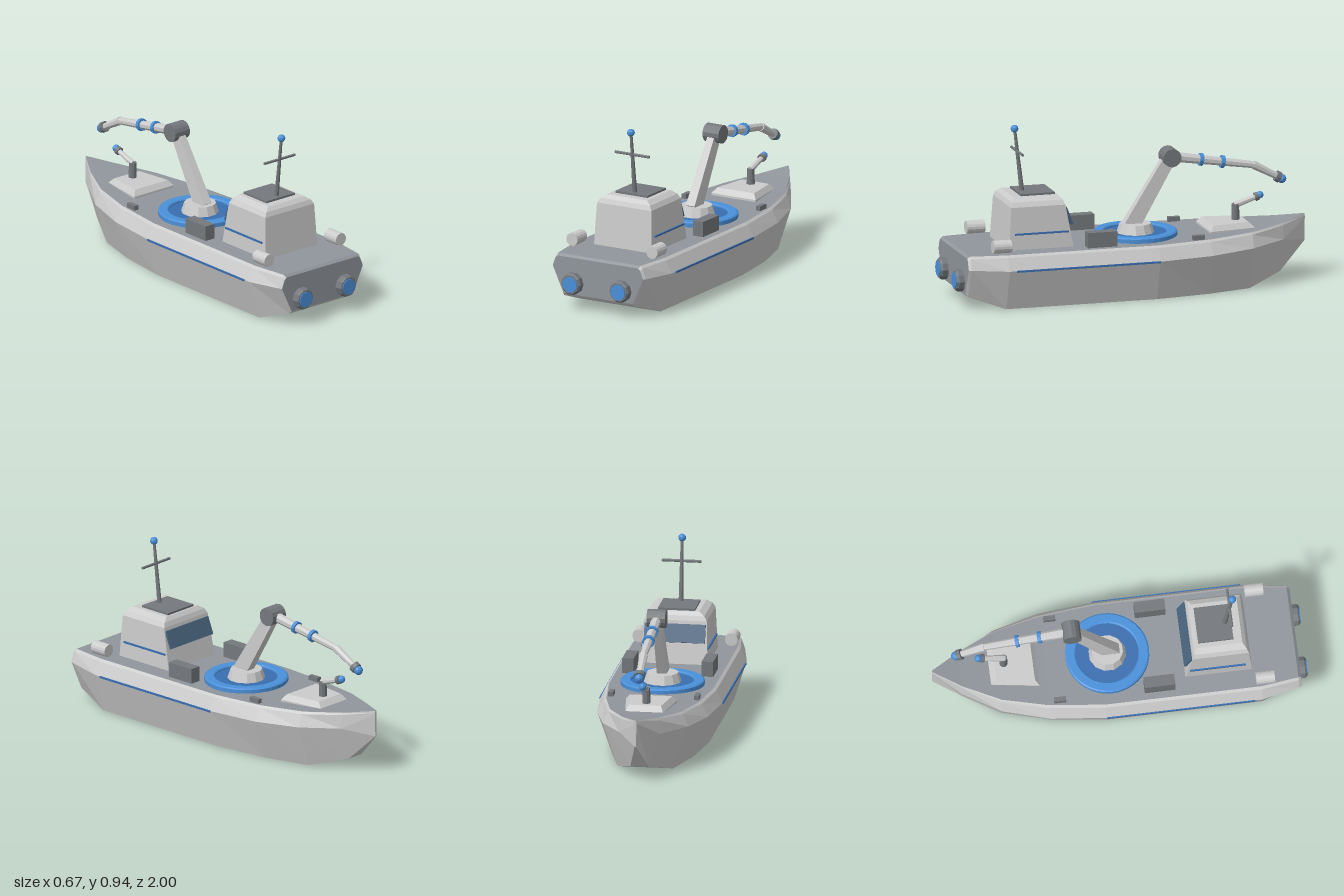
import * as THREE from 'three';

const V = (x, y, z) => new THREE.Vector3(x, y, z);
const mat = (color) => new THREE.MeshStandardMaterial({ color, flatShading: true });

// Skin closed sections, each counter-clockwise when seen from the last one.
function loft(sections, { edges = sections[0].map((_, i) => i), startCap = true, endCap = true } = {}) {
  const pos = [];
  const tri = (...pts) => pts.forEach((p) => pos.push(p.x, p.y, p.z));
  const n = sections[0].length;
  for (let s = 0; s < sections.length - 1; s++) {
    const a = sections[s], b = sections[s + 1];
    for (const i of edges) {
      const j = (i + 1) % n;
      tri(a[i], a[j], b[j]);
      tri(a[i], b[j], b[i]);
    }
  }
  const first = sections[0], last = sections[sections.length - 1];
  for (let i = 1; i < n - 1; i++) {
    if (startCap) tri(first[0], first[i + 1], first[i]);
    if (endCap) tri(last[0], last[i], last[i + 1]);
  }
  const g = new THREE.BufferGeometry();
  g.setAttribute('position', new THREE.Float32BufferAttribute(pos, 3));
  g.computeVertexNormals();
  return g;
}

// Horizontal four-sided section: half widths at the aft and fore edges
const slab = (y, wAft, zAft, wFore, zFore) =>
  [V(-wAft, y, zAft), V(wAft, y, zAft), V(wFore, y, zFore), V(-wFore, y, zFore)];

export function createModel() {
  const root = new THREE.Group();
  root.name = 'fireBoat';
  const light = mat(0xcccccc), deckGrey = mat(0x90969c), dark = mat(0x74787c);
  const blue = mat(0x4a90d9), deepBlue = mat(0x3a6eb0), glass = mat(0x4a6580);

  const add = (name, geometry, material, x = 0, y = 0, z = 0) => {
    const m = new THREE.Mesh(geometry, material);
    m.name = name;
    m.position.set(x, y, z);
    root.add(m);
    return m;
  };
  const box = (name, w, h, d, material, x, y, z) =>
    add(name, new THREE.BoxGeometry(w, h, d), material, x, y, z);
  const ball = (name, r, material, y, z) =>
    add(name, new THREE.SphereGeometry(r, 10, 8), material, 0, y, z);
  // Tapered rod from a to b
  const rod = (name, a, b, ra, rb, sides, material) => {
    const dir = b.clone().sub(a);
    const g = new THREE.CylinderGeometry(rb, ra, dir.length(), sides);
    g.rotateY(Math.PI / sides);
    const mid = a.clone().add(b).multiplyScalar(0.5);
    const m = add(name, g, material, mid.x, mid.y, mid.z);
    m.quaternion.setFromUnitVectors(V(0, 1, 0), dir.normalize());
    return m;
  };

  // Hull stations: z, half widths (deck, chine, bottom), heights (deck, chine, bottom)
  const stations = [
    [-1, 0.004, 0.006, 0.004, 0.355, 0.335, 0.21],
    [-0.85, 0.1, 0.11, 0.05, 0.332, 0.245, 0.06],
    [-0.65, 0.2, 0.23, 0.15, 0.315, 0.235, 0],
    [-0.4, 0.262, 0.3, 0.22, 0.305, 0.225, 0],
    [-0.1, 0.295, 0.33, 0.26, 0.3, 0.22, 0],
    [0.74, 0.295, 0.33, 0.26, 0.3, 0.22, 0],
    [0.94, 0.268, 0.29, 0.22, 0.3, 0.23, 0.07],
    [0.955, 0.262, 0.282, 0.215, 0.288, 0.23, 0.085],
  ].map(([z, d, c, b, yd, yc, yb]) => {
    const half = [V(b, yb, z), V(c, yc, z), V(d + 0.002, yd - 0.012, z), V(d * 0.96, yd, z)];
    const mirrored = half.map((p) => V(-p.x, p.y, p.z)).reverse();
    return [...half, ...mirrored];
  });
  add('hull', loft(stations, { edges: [0, 1, 2, 4, 5, 6, 7], endCap: false }), light);
  add('deckAndTransom', loft(stations, { edges: [3], startCap: false }), deckGrey);

  // Cabin with chamfered roof
  add('cabin', loft([
    slab(0.295, 0.18, 0.7, 0.18, 0.34),
    slab(0.53, 0.17, 0.685, 0.17, 0.383),
    slab(0.555, 0.155, 0.675, 0.155, 0.393),
    slab(0.575, 0.125, 0.655, 0.125, 0.41),
  ]), light);
  box('roofPlate', 0.2, 0.012, 0.19, dark, 0, 0.58, 0.515);
  box('windscreen', 0.33, 0.1, 0.012, glass, 0, 0.465, 0.36).rotation.x = 0.38;

  // Mast
  rod('mast', V(0, 0.58, 0.575), V(0, 0.92, 0.615), 0.013, 0.008, 8, dark);
  rod('mastCrossbar', V(-0.107, 0.8, 0.601), V(0.107, 0.8, 0.601), 0.008, 0.008, 6, dark);
  ball('mastLamp', 0.021, blue, 0.924, 0.616);

  // Paired fittings on both sides
  for (const s of [-1, 1]) {
    box('hullStripe', 0.014, 0.01, 0.8, deepBlue, s * 0.328, 0.218, 0.3);
    box('cabinStripe', 0.016, 0.009, 0.3, deepBlue, s * 0.176, 0.385, 0.517);
    box('deckLocker', 0.062, 0.085, 0.165, dark, s * 0.215, 0.34, 0.197);
    box('cleat', 0.026, 0.028, 0.064, dark, s * 0.232, 0.315, -0.34);
    rod('lifeRaftCanister', V(s * 0.25, 0.342, 0.712), V(s * 0.25, 0.342, 0.812), 0.035, 0.035, 16, light);
    rod('thrusterHousing', V(s * 0.15, 0.15, 0.93), V(s * 0.15, 0.15, 0.985), 0.06, 0.06, 10, dark);
    rod('thrusterRim', V(s * 0.15, 0.15, 0.985), V(s * 0.15, 0.15, 0.995), 0.06, 0.052, 10, dark);
    rod('thrusterOutlet', V(s * 0.15, 0.15, 0.97), V(s * 0.15, 0.15, 1), 0.043, 0.043, 20, blue);
  }

  // Turntable ring, floor and pedestal
  const zt = -0.057;
  const ringProfile = [[0.168, 0.298], [0.225, 0.298], [0.225, 0.322], [0.217, 0.328], [0.175, 0.328], [0.168, 0.322], [0.168, 0.298]];
  add('turntableRing', new THREE.LatheGeometry(ringProfile.map(([r, y]) => new THREE.Vector2(r, y)), 36), blue, 0, 0, zt);
  rod('turntableFloor', V(0, 0.298, zt), V(0, 0.315, zt), 0.17, 0.17, 36, deepBlue);
  rod('pedestal', V(0, 0.31, zt), V(0, 0.365, zt), 0.103, 0.085, 12, light);

  // Articulated water arm
  const foot = V(0, 0.35, -0.03), elbow = V(0, 0.715, -0.25), wrist = V(0, 0.637, -0.728), tip = V(0, 0.563, -0.855);
  rod('lowerBoom', foot, elbow, 0.062, 0.047, 4, light).scale.x = 0.62;
  rod('elbowJoint', V(-0.05, 0.715, -0.25), V(0.05, 0.715, -0.25), 0.05, 0.05, 14, dark);
  rod('upperBoom', elbow, wrist, 0.028, 0.019, 8, light);
  const along = (t) => elbow.clone().lerp(wrist, t);
  for (const t of [0.36, 0.61])
    rod('boomCollar', along(t - 0.02), along(t + 0.02), 0.034, 0.034, 10, blue);
  rod('waterPipe', V(0, 0.639, -0.715), tip, 0.024, 0.018, 8, light);
  rod('nozzleCollar', V(0, 0.571, -0.84), V(0, 0.559, -0.862), 0.03, 0.03, 10, dark);
  ball('nozzleTip', 0.025, blue, 0.553, -0.873);

  // Bow platform with a small water cannon
  add('bowPlatform', loft([
    slab(0.295, 0.138, -0.438, 0.102, -0.695),
    slab(0.318, 0.138, -0.438, 0.102, -0.695),
    slab(0.347, 0.115, -0.46, 0.086, -0.664),
  ]), light);
  rod('cannonPost', V(0, 0.34, -0.615), V(0, 0.432, -0.615), 0.022, 0.02, 10, dark);
  rod('cannonBarrel', V(0, 0.425, -0.61), V(0, 0.467, -0.74), 0.018, 0.014, 8, light);
  rod('cannonCollar', V(0, 0.461, -0.722), V(0, 0.467, -0.74), 0.023, 0.023, 10, dark);
  ball('cannonTip', 0.02, blue, 0.472, -0.751);

  return root;
}
